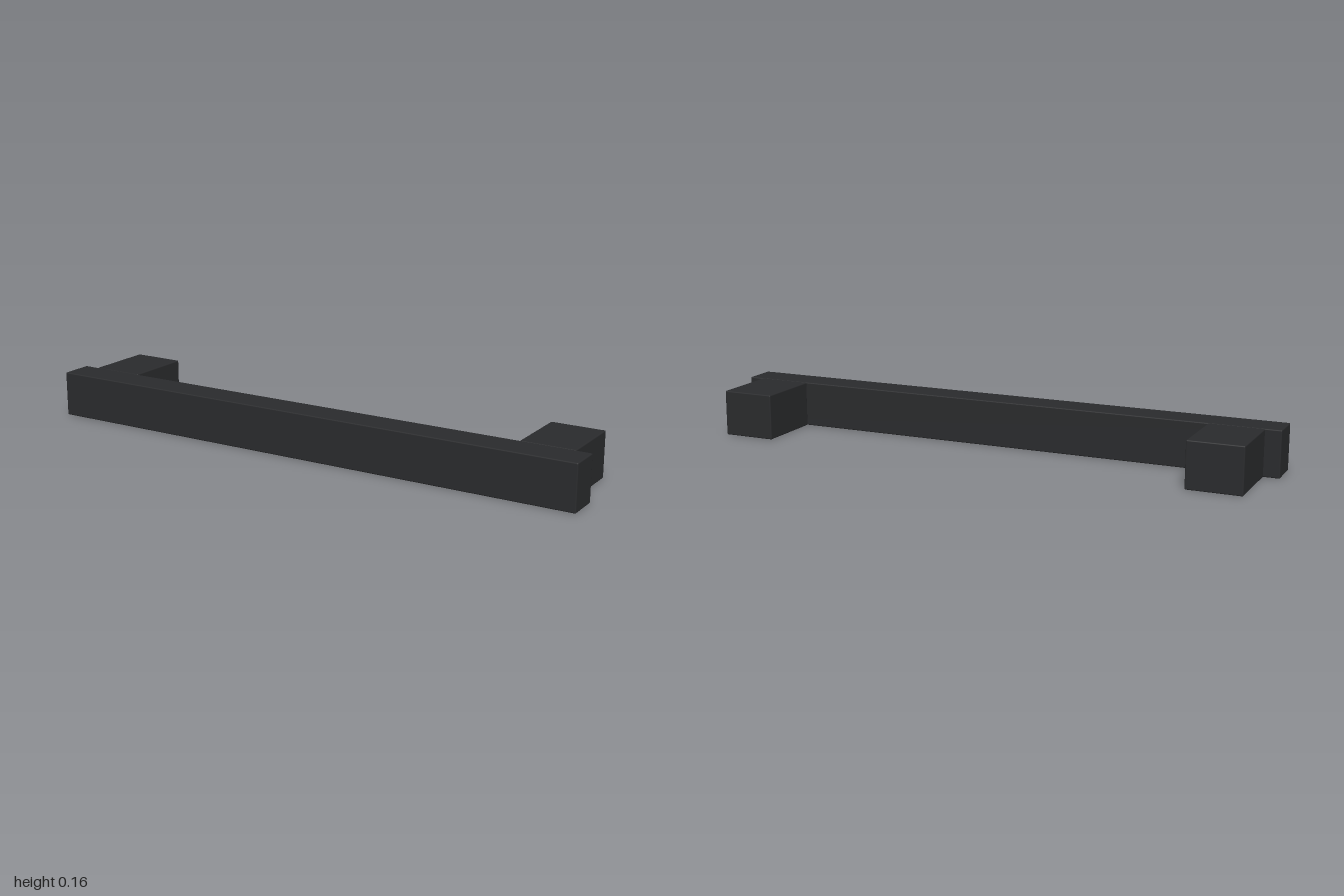
import * as THREE from 'three';
import { RoundedBoxGeometry } from 'three/addons/geometries/RoundedBoxGeometry.js';

const HEIGHT = 0.16;
const BEVEL = 0.004;

export function createModel() {
  const group = new THREE.Group();
  group.name = 'pullHandle';
  const material = new THREE.MeshStandardMaterial({ color: 0x2a2b2d });

  // Block with finely eased edges, standing on y = 0
  const addBlock = (name, width, depth, x, z) => {
    const mesh = new THREE.Mesh(new RoundedBoxGeometry(width, HEIGHT, depth, 2, BEVEL), material);
    mesh.name = name;
    mesh.position.set(x, HEIGHT / 2, z);
    group.add(mesh);
  };

  // Long grip bar at the front
  addBlock('gripBar', 2, 0.115, 0, 0.1225);

  // Mounting posts behind the bar
  for (const side of [-1, 1]) {
    addBlock(side > 0 ? 'leftPost' : 'rightPost', 0.188, 0.245, side * 0.852, -0.0575);
  }

  return group;
}
